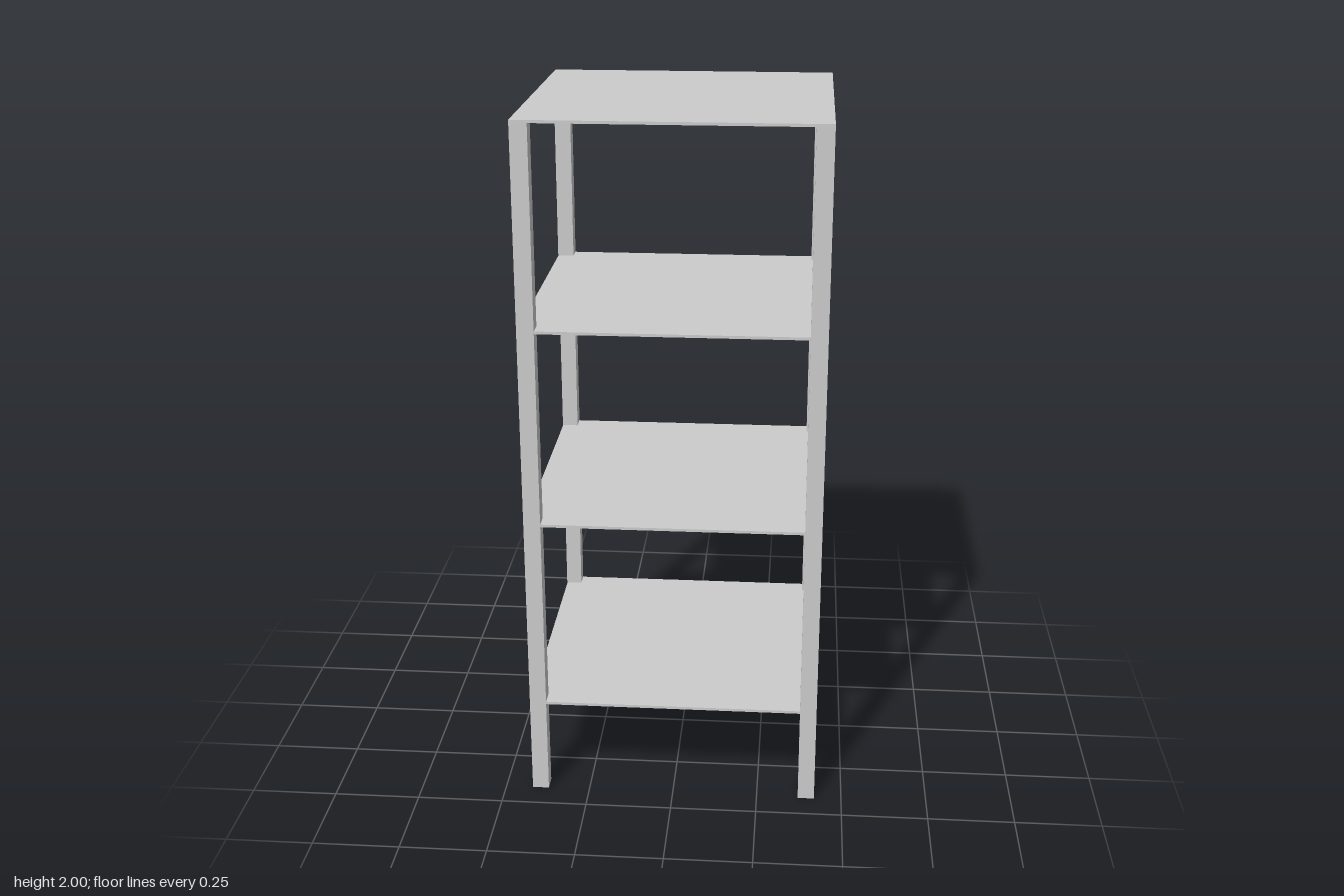
import * as THREE from 'three';

const WIDTH = 0.84, HEIGHT = 2, LEG = 0.048, BOARD = 0.008;

export function createModel() {
  const model = new THREE.Group();
  model.name = 'shelvingUnit';
  const material = new THREE.MeshStandardMaterial({ color: 0xcccccc });

  const addBox = (name, w, h, d, x, y, z) => {
    const mesh = new THREE.Mesh(new THREE.BoxGeometry(w, h, d), material);
    mesh.name = name;
    mesh.position.set(x, y, z);
    model.add(mesh);
  };

  // Four square corner posts, standing under the top board
  const legHeight = HEIGHT - BOARD;
  const offset = (WIDTH - LEG) / 2;
  for (const [side, sx] of [['Left', 1], ['Right', -1]]) {
    for (const [end, sz] of [['front', 1], ['back', -1]]) {
      addBox(`${end}${side}Leg`, LEG, legHeight, LEG, sx * offset, legHeight / 2, sz * offset);
    }
  }

  // Top board covers the posts
  addBox('topShelf', WIDTH, BOARD, WIDTH, 0, HEIGHT - BOARD / 2, 0);

  // Lower boards sit a hair inside the posts' outer faces
  const inner = WIDTH - 0.002;
  ['lowerShelf', 'middleShelf', 'upperShelf'].forEach((name, i) => {
    addBox(name, inner, BOARD, inner, 0, 0.289 + i * 0.569, 0);
  });

  return model;
}
